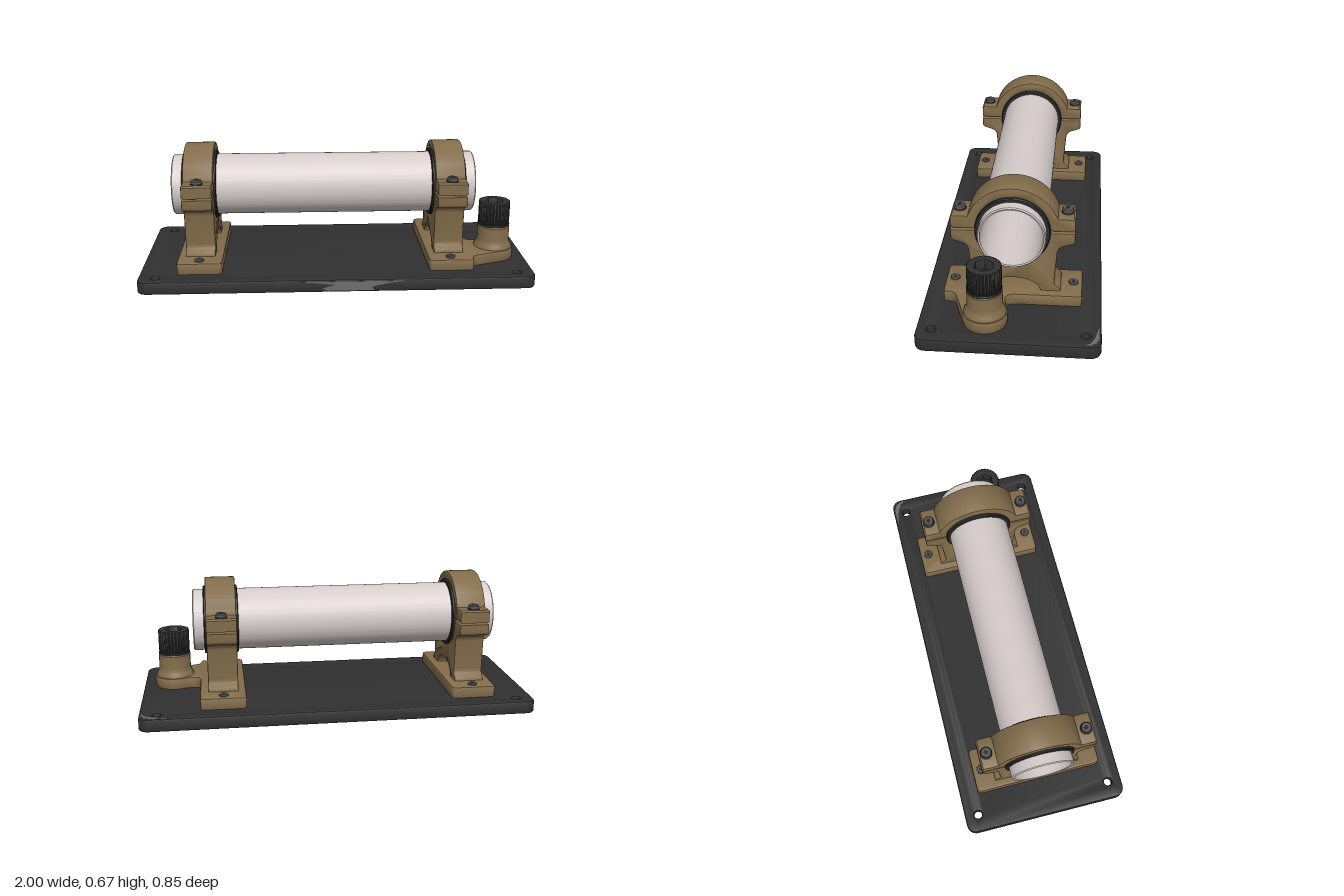
import * as THREE from 'three';
import { toCreasedNormals } from 'three/addons/utils/BufferGeometryUtils.js';

const mat = (name, color) => Object.assign(new THREE.MeshStandardMaterial({ color }), { name });

export function createModel() {
  const root = new THREE.Group();
  root.name = 'tubeStand';
  const bronze = mat('bronze', 0x836d4b);
  const black = mat('black', 0x303030);
  const rubber = mat('rubber', 0x292929);
  const silver = mat('silver', 0xd6cdcb);
  const steel = mat('steel', 0x5a5a5a);
  const worn = mat('wornMetal', 0x6c6c6c);

  const add = (parent, name, geo, material, x = 0, y = 0, z = 0) => {
    const m = new THREE.Mesh(geo, material);
    m.name = name;
    m.position.set(x, y, z);
    parent.add(m);
    return m;
  };
  // Extrusion of total length len, centred on z, whose bevel stays inside the outline
  const extrude = (shape, len, bevel) => {
    const g = new THREE.ExtrudeGeometry(shape, {
      depth: len - 2 * bevel, bevelEnabled: bevel > 0, bevelThickness: bevel, bevelSize: bevel,
      bevelOffset: -bevel, bevelSegments: 2, curveSegments: 24,
    });
    g.translate(0, 0, bevel - len / 2);
    return toCreasedNormals(g, 0.45);
  };
  // Horizontal slab from a plan drawn in (x, z), standing on its own y = 0
  const slab = (shape, h, bevel) => extrude(shape, h, bevel).rotateX(Math.PI / 2).translate(0, h / 2, 0);
  const poly = (pts) => new THREE.Shape(pts.map(([x, y]) => new THREE.Vector2(x, y)));
  const roundRect = (x0, z0, x1, z1, r) => {
    const s = new THREE.Shape();
    s.absarc(x1 - r, z1 - r, r, 0, Math.PI / 2);
    s.absarc(x0 + r, z1 - r, r, Math.PI / 2, Math.PI);
    s.absarc(x0 + r, z0 + r, r, Math.PI, Math.PI * 1.5);
    s.absarc(x1 - r, z0 + r, r, Math.PI * 1.5, Math.PI * 2);
    s.closePath();
    return s;
  };
  const lathe = (pts, seg = 64) => {
    const g = new THREE.LatheGeometry(pts.map(([r, y]) => new THREE.Vector2(r, y)), seg);
    return toCreasedNormals(g, 0.5);
  };

  // Base plate with four corner holes
  const plan = roundRect(-1, -0.425, 1, 0.425, 0.05);
  for (const x of [-0.913, 0.913]) for (const z of [-0.355, 0.355]) {
    const h = new THREE.Path();
    h.absarc(x, z, 0.021, 0, Math.PI * 2, true);
    plan.holes.push(h);
  }
  add(root, 'basePlate', slab(plan, 0.066, 0.009), black);
  add(root, 'undersidePlug', new THREE.CylinderGeometry(0.025, 0.025, 0.004, 24), rubber, -0.14, 0, -0.19);

  // Worn patches on the plate
  const frontWear = poly([[-0.2, 0.057], [-0.1, 0.05], [-0.02, 0.04], [-0.08, 0.02], [-0.05, 0.009],
    [0.18, 0.009], [0.17, 0.028], [0.25, 0.045], [0.34, 0.057]]);
  add(root, 'frontWear', extrude(frontWear, 0.002, 0), worn, 0, 0, 0.425);
  const cornerWear = poly([[0.85, -0.414], [0.94, -0.414], [0.97, -0.4], [0.988, -0.372],
    [0.99, -0.34], [0.97, -0.375], [0.93, -0.395]]);
  add(root, 'cornerWear', slab(cornerWear, 0.002, 0), worn, 0, 0.065, 0);

  // Tube with chamfered rims
  const CY = 0.448;
  const tube = lathe([[0.146, -0.78], [0.153, -0.7825], [0.158, -0.777], [0.158, 0.777],
    [0.153, 0.7825], [0.146, 0.78], [0.146, -0.78]], 96);
  add(root, 'tube', tube.rotateZ(-Math.PI / 2), silver, -0.0575, CY, 0);

  // Clamp cap profile in (z, y), with half the bore
  const R = 0.175, a = Math.asin(0.005 / R), b = Math.asin(0.07 / 0.22);
  const cap = new THREE.Shape();
  cap.moveTo(0.29, 0.453);
  cap.lineTo(0.29, 0.51);
  cap.lineTo(0.282, 0.518);
  cap.lineTo(0.2086, 0.518);
  cap.absarc(0, CY, 0.22, b, Math.PI - b);
  cap.lineTo(-0.282, 0.518);
  cap.lineTo(-0.29, 0.51);
  cap.lineTo(-0.29, 0.453);
  cap.absarc(0, CY, R, Math.PI - a, a, true);
  cap.closePath();

  // Clamp pedestal profile: lower bore half, waist, flared base and arch
  const ped = new THREE.Shape();
  ped.moveTo(-0.29, 0.443);
  ped.lineTo(-0.29, 0.402);
  ped.quadraticCurveTo(-0.288, 0.389, -0.275, 0.385);
  ped.lineTo(-0.235, 0.372);
  ped.quadraticCurveTo(-0.21, 0.362, -0.208, 0.335);
  ped.lineTo(-0.196, 0.18);
  ped.quadraticCurveTo(-0.196, 0.162, -0.21, 0.152);
  ped.quadraticCurveTo(-0.226, 0.142, -0.227, 0.12);
  ped.lineTo(-0.13, 0.12);
  ped.absellipse(0, 0.12, 0.13, 0.071, Math.PI, 0, true, 0);
  ped.lineTo(0.227, 0.12);
  ped.quadraticCurveTo(0.226, 0.142, 0.21, 0.152);
  ped.quadraticCurveTo(0.196, 0.162, 0.196, 0.18);
  ped.lineTo(0.208, 0.335);
  ped.quadraticCurveTo(0.21, 0.362, 0.235, 0.372);
  ped.lineTo(0.275, 0.385);
  ped.quadraticCurveTo(0.288, 0.389, 0.29, 0.402);
  ped.lineTo(0.29, 0.443);
  ped.absarc(0, CY, R, -a, -Math.PI + a, true);
  ped.closePath();

  const capGeo = extrude(cap, 0.152, 0.006).rotateY(Math.PI / 2);
  const pedGeo = extrude(ped, 0.152, 0.006).rotateY(Math.PI / 2);
  const linerGeo = lathe([[0.157, -0.087], [0.172, -0.087], [0.176, -0.083], [0.176, 0.083],
    [0.172, 0.087], [0.157, 0.087], [0.157, -0.087]]).rotateZ(-Math.PI / 2);
  const boltGeo = (r, h) => lathe([[0, 0], [r, 0], [r, h - 0.004], [r - 0.004, h], [0, h]], 32);

  // Right foot plan: rectangle with an arm running to the round post base
  const PX = 0.835, PZ = 0.114;
  const armFoot = new THREE.Shape();
  armFoot.moveTo(0.49, -0.33);
  armFoot.lineTo(0.68, -0.33);
  armFoot.quadraticCurveTo(0.7, -0.33, 0.7, -0.31);
  armFoot.lineTo(0.7, -0.02);
  armFoot.quadraticCurveTo(0.7, 0.03, 0.74, 0.03);
  armFoot.lineTo(PX + 0.105 * Math.cos(-2.1), PZ + 0.105 * Math.sin(-2.1));
  armFoot.absarc(PX, PZ, 0.105, -2.1, 1.25);
  armFoot.lineTo(0.74, 0.26);
  armFoot.quadraticCurveTo(0.7, 0.272, 0.7, 0.3);
  armFoot.lineTo(0.7, 0.31);
  armFoot.quadraticCurveTo(0.7, 0.33, 0.68, 0.33);
  armFoot.lineTo(0.49, 0.33);
  armFoot.quadraticCurveTo(0.47, 0.33, 0.47, 0.31);
  armFoot.lineTo(0.47, -0.31);
  armFoot.quadraticCurveTo(0.47, -0.33, 0.49, -0.33);

  // Two clamps
  const clamps = [[-0.698, roundRect(-0.81, -0.33, -0.582, 0.33, 0.02)], [0.583, armFoot]];
  clamps.forEach(([x, foot], i) => {
    const g = new THREE.Group();
    g.name = i ? 'leftClamp' : 'rightClamp';
    root.add(g);
    add(g, 'foot', slab(foot, 0.06, 0.007), bronze, 0, 0.065, 0);
    add(g, 'pedestal', pedGeo, bronze, x);
    add(g, 'cap', capGeo, bronze, x);
    add(g, 'liner', linerGeo, rubber, x, CY);
    for (const s of [-1, 1]) {
      add(g, 'capWasher', boltGeo(0.03, 0.007), rubber, x, 0.517, s * 0.252);
      add(g, 'capBolt', boltGeo(0.027, 0.018), steel, x, 0.523, s * 0.252);
      add(g, 'capBoltSocket', new THREE.CylinderGeometry(0.012, 0.012, 0.002, 6), rubber, x, 0.541, s * 0.252);
      add(g, 'footBolt', boltGeo(0.023, 0.011), steel, x, 0.124, s * 0.287);
      add(g, 'footBoltSocket', new THREE.CylinderGeometry(0.01, 0.01, 0.002, 6), rubber, x, 0.135, s * 0.287);
    }
  });

  // Post with flared base, washer and ribbed knob
  const post = new THREE.Group();
  post.name = 'adjuster';
  post.position.set(PX, 0, PZ);
  root.add(post);
  add(post, 'post', lathe([[0.1, 0.12], [0.097, 0.133], [0.09, 0.145], [0.085, 0.157], [0.083, 0.172],
    [0.083, 0.238], [0.078, 0.244], [0, 0.244]]), bronze);
  add(post, 'washer', boltGeo(0.083, 0.008), rubber, 0, 0.245);
  add(post, 'neck', new THREE.CylinderGeometry(0.074, 0.074, 0.012, 48), rubber, 0, 0.254);
  const ribs = Array.from({ length: 120 }, (_, i) => {
    const t = (i / 120) * Math.PI * 2, r = i % 4 < 3 ? 0.0805 : 0.077;
    return [r * Math.cos(t), r * Math.sin(t)];
  });
  const knob = poly(ribs);
  knob.holes.push(new THREE.Path(Array.from({ length: 6 }, (_, i) =>
    new THREE.Vector2(0.046 * Math.cos(-i * Math.PI / 3), 0.046 * Math.sin(-i * Math.PI / 3)))));
  add(post, 'knob', slab(knob, 0.115, 0.005), black, 0, 0.257);
  add(post, 'socketFloor', new THREE.CylinderGeometry(0.055, 0.055, 0.005, 24), rubber, 0, 0.32);
  return root;
}
